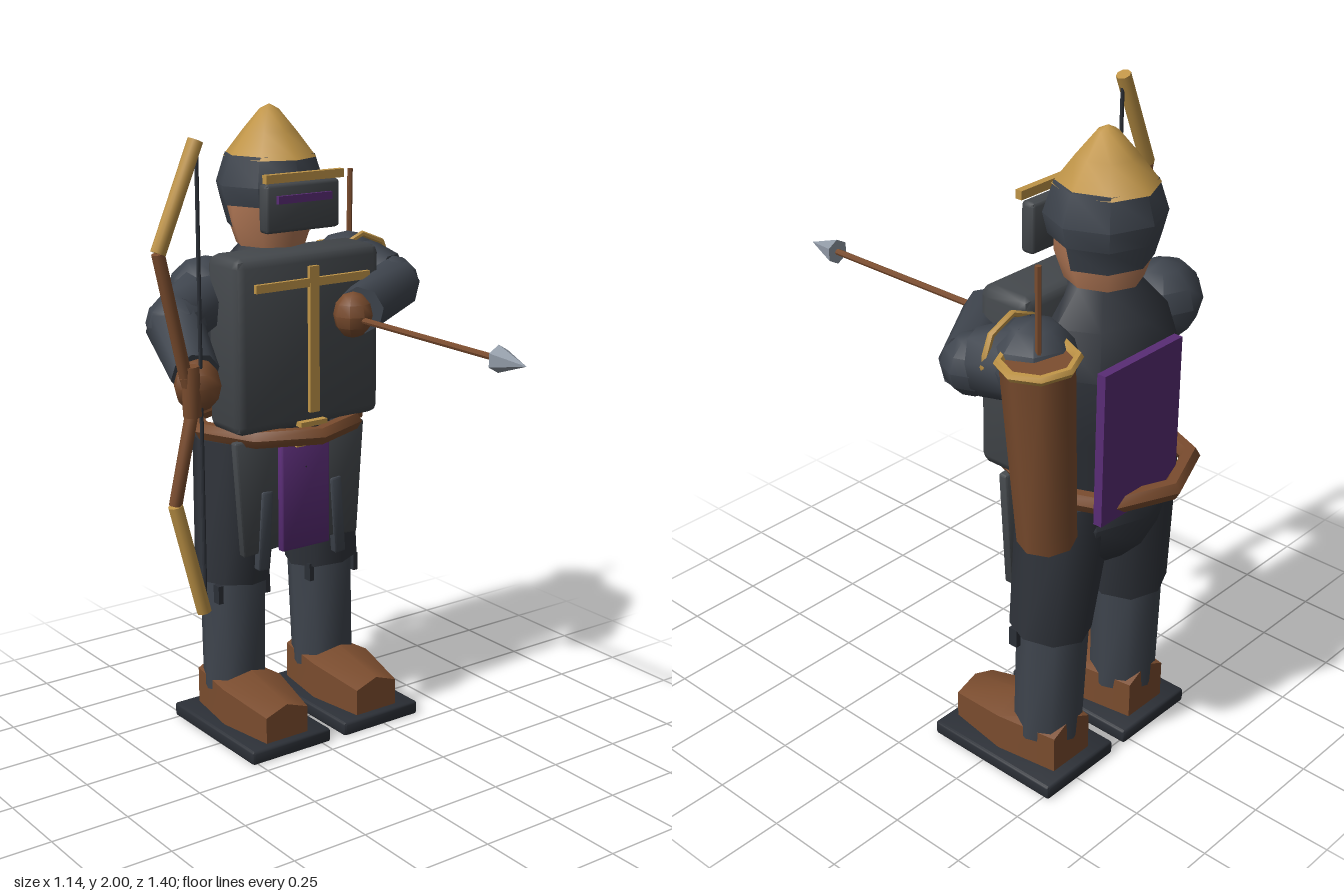
import * as THREE from 'three';
import { toCreasedNormals } from 'three/addons/utils/BufferGeometryUtils.js';
import { RoundedBoxGeometry } from 'three/addons/geometries/RoundedBoxGeometry.js';

const mat = (color) => new THREE.MeshStandardMaterial({ color, side: THREE.DoubleSide });
const plate = mat(0x43474b), cloth = mat(0x30343b), armour = mat(0x3f454e), sole = mat(0x2b2f36);
const leather = mat(0x7a4c2e), gold = mat(0xbf9447), purple = mat(0x592c75), skin = mat(0xb67b58), steel = mat(0x9099a5);
const CX = 0.058, CZ = -0.41; // body axis
const V = (a) => new THREE.Vector3(...a);

export function createModel() {
  const root = new THREE.Group();

  const add = (name, geo, material, pos = [0, 0, 0], rot = [0, 0, 0]) => {
    const mesh = new THREE.Mesh(toCreasedNormals(geo, 0.83), material);
    mesh.name = name;
    mesh.position.set(...pos);
    mesh.rotation.set(...rot);
    root.add(mesh);
    return mesh;
  };
  const box = (name, material, size, pos, rot) => add(name, new THREE.BoxGeometry(...size), material, pos, rot);
  const bevelBox = (name, material, size, pos, radius, rot) =>
    add(name, new RoundedBoxGeometry(...size, 1, radius), material, pos, rot);
  // tapered cylinder between two points
  const limb = (name, material, from, to, r0, r1 = r0, sides = 8) => {
    const a = V(from), b = V(to), dir = b.clone().sub(a);
    const mesh = add(name, new THREE.CylinderGeometry(r1, r0, dir.length(), sides), material);
    mesh.position.copy(a).add(b).multiplyScalar(0.5);
    mesh.quaternion.setFromUnitVectors(new THREE.Vector3(0, 1, 0), dir.normalize());
    return mesh;
  };
  // eight-sided turned form on the body axis, profile as [radius, y]
  const turned = (name, material, profile, depth = 1, start = 0, sweep = Math.PI * 2, sides = 8) => {
    const geo = new THREE.LatheGeometry(profile.map((p) => new THREE.Vector2(...p)), sides, start, sweep);
    geo.scale(1, 1, depth);
    return add(name, geo, material, [CX, 0, CZ]);
  };
  const ball = (name, material, radii, pos) =>
    add(name, new THREE.SphereGeometry(1, 8, 6).scale(...radii), material, pos);

  // legs and feet
  for (const side of [-1, 1]) {
    const label = side < 0 ? 'right' : 'left';
    const x = CX + side * 0.178;
    bevelBox(label + 'Sole', sole, [0.3, 0.045, 0.47], [x, 0.0225, -0.285], 0.008);

    const section = new THREE.Shape([[-0.11, 0], [0.11, 0], [0.11, 0.12], [0, 0.16], [-0.11, 0.12]]
      .map((p) => new THREE.Vector2(...p)));
    const boot = new THREE.ExtrudeGeometry(section, { depth: 0.4, steps: 2, bevelEnabled: false });
    const p = boot.attributes.position;
    for (let i = 0; i < p.count; i++) { // lower, narrower toe and heel
      const z = p.getZ(i);
      const end = Math.abs(z - 0.2) > 0.1;
      p.setX(i, p.getX(i) * (end ? 0.72 : 1));
      p.setY(i, p.getY(i) * (z > 0.3 ? 0.72 : 1));
    }
    boot.computeVertexNormals();
    add(label + 'Boot', boot, leather, [x, 0.045, -0.48]);

    limb(label + 'Shin', armour, [x, 0.13, -0.385], [x - side * 0.006, 0.53, -0.395], 0.103, 0.108);
    limb(label + 'Thigh', cloth, [x, 0.5, -0.39], [x - side * 0.04, 0.96, -0.41], 0.122, 0.145);
    for (const dx of [-0.09, 0.09]) box(label + 'KneeStrap', sole, [0.018, 0.06, 0.03], [x + dx, 0.475, -0.33]);
  }
  ball('pelvis', cloth, [0.235, 0.2, 0.19], [CX, 0.88, -0.41]);

  // torso and breastplate
  turned('torso', cloth, [[0, 0.96], [0.2, 0.97], [0.235, 1.15], [0.245, 1.35], [0.2, 1.48], [0.11, 1.57], [0, 1.57]], 0.8);
  bevelBox('breastplate', plate, [0.54, 0.55, 0.175], [0.06, 1.295, -0.283], 0.03);
  box('chestTrimBar', gold, [0.425, 0.026, 0.014], [0.058, 1.48, -0.18]);
  box('chestTrimStem', gold, [0.035, 0.46, 0.014], [0.058, 1.3, -0.178]);

  // belt and hanging panels
  const belt = new THREE.TorusGeometry(0.263, 0.03, 6, 8).rotateX(Math.PI / 2);
  add('belt', belt, leather, [CX, 1.0, CZ]);
  box('beltBuckle', gold, [0.1, 0.016, 0.03], [CX, 1.033, -0.19]);
  box('tabardClasp', gold, [0.1, 0.018, 0.02], [CX, 0.965, -0.21]);
  bevelBox('tabard', purple, [0.185, 0.36, 0.028], [CX, 0.79, -0.235], 0.006);
  for (const side of [-1, 1]) {
    bevelBox('hipPanel', plate, [0.16, 0.38, 0.03], [CX + side * 0.155, 0.805, -0.262], 0.006, [0, 0, -side * 0.07]);
    bevelBox('hangingStrap', armour, [0.042, 0.26, 0.03], [CX + side * 0.142, 0.685, -0.255], 0.006, [0, 0, side * 0.07]);
  }
  box('backPanel', purple, [0.325, 0.46, 0.028], [0.143, 1.2, -0.613]);

  // head and helmet
  limb('neck', skin, [CX, 1.5, CZ], [CX, 1.62, CZ], 0.09, 0.09);
  turned('head', skin, [[0, 1.57], [0.11, 1.57], [0.138, 1.65], [0.14, 1.75]]);
  turned('helmet', armour, [[0.16, 1.7], [0.175, 1.76], [0.145, 1.85], [0, 1.87]], 0.95);
  turned('helmetNeckGuard', armour, [[0.14, 1.63], [0.16, 1.7]], 0.95, Math.PI / 2, Math.PI, 4);
  turned('helmetCone', gold, [[0, 1.84], [0.147, 1.84], [0.085, 1.92], [0.03, 1.985], [0, 2.0]]);
  bevelBox('visor', plate, [0.275, 0.15, 0.045], [CX, 1.705, -0.25], 0.012);
  box('visorSlit', purple, [0.2, 0.024, 0.02], [CX, 1.732, -0.226]);
  box('browBand', gold, [0.288, 0.026, 0.022], [CX, 1.797, -0.227]);

  // right arm, holding the bow
  ball('rightShoulder', armour, [0.13, 0.12, 0.12], [-0.17, 1.43, -0.43]);
  limb('rightUpperArm', armour, [-0.17, 1.43, -0.43], [-0.34, 1.38, -0.33], 0.105, 0.09);
  ball('rightElbow', armour, [0.095, 0.09, 0.095], [-0.345, 1.375, -0.325]);
  limb('rightForearm', armour, [-0.35, 1.375, -0.33], [-0.405, 1.27, -0.125], 0.088, 0.074);
  ball('rightHand', leather, [0.075, 0.08, 0.065], [-0.41, 1.24, -0.105]);

  // left arm, folded across the chest
  ball('leftShoulder', armour, [0.13, 0.12, 0.12], [0.39, 1.45, -0.45]);
  limb('leftUpperArm', armour, [0.39, 1.45, -0.45], [0.45, 1.42, -0.31], 0.12, 0.092);
  ball('leftElbow', armour, [0.092, 0.088, 0.092], [0.455, 1.415, -0.3]);
  limb('leftForearm', armour, [0.46, 1.41, -0.295], [0.165, 1.395, -0.08], 0.09, 0.074);
  ball('leftHand', leather, [0.062, 0.072, 0.06], [0.135, 1.385, -0.08]);

  // shoulder rings
  for (const [x, y] of [[-0.14, 1.43], [0.4, 1.455]])
    add('shoulderRing', new THREE.TorusGeometry(0.113, 0.01, 6, 8), gold, [x, y, -0.385]);

  // bow
  const bowPoints = [[-0.42, 1.95], [-0.55, 1.645], [-0.47, 1.28], [-0.445, 1.2], [-0.515, 0.9], [-0.425, 0.55]]
    .map(([x, y]) => [x, y, -0.072]);
  bowPoints.slice(1).forEach((end, i) => {
    const tip = i === 0 || i === 4;
    limb(tip ? 'bowTip' : 'bowLimb', tip ? gold : leather, bowPoints[i], end, tip ? 0.023 : 0.02);
  });
  limb('bowGrip', leather, [-0.45, 1.16, -0.072], [-0.455, 1.31, -0.072], 0.028);
  limb('bowString', sole, [-0.42, 0.57, -0.072], [-0.418, 1.93, -0.072], 0.006);

  // nocked arrow
  limb('arrowShaft', leather, [0.137, 1.375, -0.12], [0.137, 1.375, 0.6], 0.01);
  limb('arrowHead', steel, [0.137, 1.375, 0.585], [0.137, 1.375, 0.7], 0.04, 0, 6);

  // quiver
  limb('quiver', leather, [0.4, 0.93, -0.515], [0.453, 1.5, -0.52], 0.083, 0.1);
  add('quiverRim', new THREE.TorusGeometry(0.103, 0.014, 6, 8).rotateX(Math.PI / 2), gold, [0.453, 1.5, -0.525], [0, 0, -0.09]);
  limb('spareArrow', leather, [0.445, 1.3, -0.52], [0.452, 1.76, -0.52], 0.009, 0.009, 6);

  return root;
}
